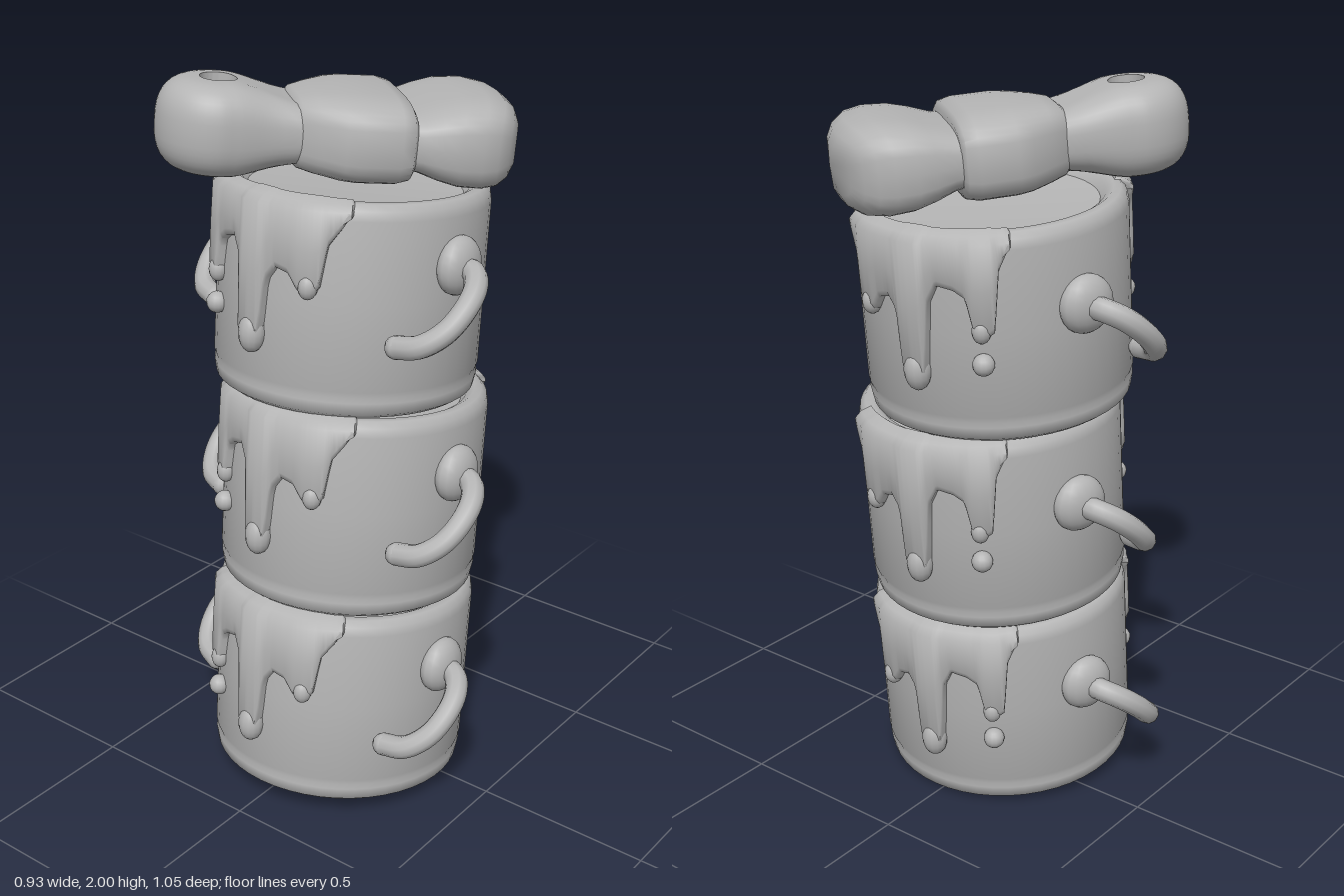
import * as THREE from 'three';
import { toCreasedNormals } from 'three/addons/utils/BufferGeometryUtils.js';

const grey = new THREE.MeshStandardMaterial({ color: 0xb4b4b4, side: THREE.DoubleSide });
grey.name = 'plain grey';

const R = 0.36;       // can radius
const TILT = -0.09;   // lean of the stack

function add(parent, name, geometry) {
  const mesh = new THREE.Mesh(geometry, grey);
  mesh.name = name;
  parent.add(mesh);
  return mesh;
}

// Surface through rows of points; rows and columns may each wrap round
function skin(rows, wrapRows, wrapCols, crease = 0.9) {
  const n = rows.length, m = rows[0].length, index = [];
  for (let i = 0; i < (wrapRows ? n : n - 1); i++) {
    for (let j = 0; j < (wrapCols ? m : m - 1); j++) {
      const i2 = (i + 1) % n, j2 = (j + 1) % m;
      const a = i * m + j, b = i2 * m + j, c = i2 * m + j2, d = i * m + j2;
      index.push(a, b, d, b, c, d);
    }
  }
  const g = new THREE.BufferGeometry();
  g.setAttribute('position', new THREE.Float32BufferAttribute(rows.flat(2), 3));
  g.setIndex(index);
  return toCreasedNormals(g, crease);
}

// Can body with recessed base and lid
function canBody() {
  const profile = [
    [0, 0.08], [0.22, 0.08], [0.25, 0.06], [0.265, 0.012], [0.285, 0], [0.335, 0],
    [0.352, 0.012], [0.358, 0.045], [0.354, 0.058], [0.36, 0.075], [0.36, 0.3], [0.36, 0.52],
    [0.355, 0.545], [0.34, 0.56], [0.32, 0.562], [0.3, 0.55], [0.285, 0.53], [0.24, 0.525], [0, 0.525],
  ].map(([x, y]) => new THREE.Vector2(x, y));
  return toCreasedNormals(new THREE.LatheGeometry(profile, 48), 0.8);
}

// Lower edge of the paint run: z along the rim, depth below it
const EDGE = [
  [-0.26, 0.02], [-0.235, 0.09], [-0.222, 0.25], [-0.2, 0.27], [-0.18, 0.25], [-0.165, 0.16],
  [-0.14, 0.14], [-0.1, 0.13], [-0.075, 0.18], [-0.058, 0.38], [-0.03, 0.4], [0, 0.37],
  [0.012, 0.22], [0.04, 0.18], [0.075, 0.19], [0.1, 0.23], [0.13, 0.24], [0.15, 0.22],
  [0.165, 0.11], [0.195, 0.06], [0.215, 0.02],
];
function runDepth(z) {
  let k = 0;
  while (k < EDGE.length - 2 && z > EDGE[k + 1][0]) k++;
  const [z0, d0] = EDGE[k], [z1, d1] = EDGE[k + 1];
  return THREE.MathUtils.lerp(d0, d1, THREE.MathUtils.clamp((z - z0) / (z1 - z0), 0, 1));
}

// Paint running down one side of a can, with rounded tips and a loose drop
function addDrips(can, side) {
  const a0 = Math.asin(-0.26 / R), a1 = Math.asin(0.215 / R), N = 90, rows = [];
  const start = side > 0 ? a0 : Math.PI - a1;
  for (let i = 0; i <= N; i++) {
    const a = start + (a1 - a0) * i / N;
    const d = runDepth(R * Math.sin(a)), yb = 0.562 - d;
    const t = i === 0 || i === N ? -0.01 : 0.016 + 0.04 * d;
    rows.push([
      [0.325, 0.555], [0.33, 0.564 + t * 0.3], [0.348 + t * 0.6, 0.56], [R + t * 0.9, 0.543],
      [R + t, 0.543 - d * 0.45], [R + t, Math.min(yb + 0.02, 0.54)],
      [R + t * 0.7, yb + 0.004], [R - 0.01, yb],
    ].map(([r, y]) => [r * Math.cos(a), y, r * Math.sin(a)]));
  }
  add(can, 'paintRun', skin(rows, false, false, 1.1));

  for (const [z, depth, r, stretch] of [
    [0.127, 0.215, 0.026, 1.3], [-0.03, 0.365, 0.036, 1.5], [-0.2, 0.245, 0.025, 1.3], [-0.2, 0.335, 0.029, 1],
  ]) {
    const drop = add(can, 'paintDrop', new THREE.SphereGeometry(r, 14, 10));
    drop.scale.y = stretch;
    drop.position.set(side * Math.sqrt(0.37 ** 2 - z * z), 0.562 - depth, z);
  }
}

// Round lug with a hooked carrying loop
function addLoop(can, side, turn, drop) {
  const loop = new THREE.Group();
  loop.name = 'carryingLoop';
  const path = new THREE.CatmullRomCurve3([
    [-0.035, 0.39, 0.36], [-0.05, 0.39, 0.42], [-0.09, 0.365, 0.455], [-0.14, 0.32, 0.462],
    [-0.19, 0.265, 0.44], [-0.225, 0.225, 0.39], [-0.23, 0.21, 0.325],
  ].map(([x, y, z]) => new THREE.Vector3(x, y, z * side)));
  add(loop, 'loopRod', new THREE.TubeGeometry(path, 32, 0.031, 10));
  const tip = add(loop, 'loopTip', new THREE.SphereGeometry(0.031, 10, 8));
  tip.position.copy(path.getPoint(1));
  const lug = add(loop, 'loopLug', new THREE.SphereGeometry(0.078, 16, 12));
  lug.scale.z = 0.6;
  lug.position.set(-0.035, 0.395, 0.365 * side);
  loop.rotation.y = turn;
  loop.position.y = drop;
  can.add(loop);
}

// Loft of rounded-box sections [u, half width, half thickness] along x
function loft(sections, arch = 0) {
  const M = 32, pow = (v) => Math.sign(v) * Math.abs(v) ** 0.55;
  return skin(sections.map(([u, w, h]) => Array.from({ length: M }, (_, j) => {
    const b = j / M * Math.PI * 2, z = w * pow(Math.cos(b));
    return [u - arch * Math.max(0, u - 0.5) * z * z, h * pow(Math.sin(b)), z];
  })), false, true);
}

// Puffy brush handle with a hanging hole through the lobe
function handleGeometry() {
  const rows = [], N = 56, K = 20, hole = 0.048, e = 0.75;
  for (let i = 0; i < N; i++) {
    const a = i / N * Math.PI * 2, c = Math.cos(a), s = Math.sin(a);
    const reach = c > 0.01 ? Math.min(0.28 / c, 0.155 / Math.abs(s)) : 0.157;
    const row = [];
    for (let j = 0; j <= K; j++) {
      const q = j / K * Math.PI;
      const r = hole + (reach - hole) * Math.abs(Math.sin(q)) ** e;
      const x = r * c;
      const thick = THREE.MathUtils.lerp(0.12, 0.088, THREE.MathUtils.smoothstep(x, 0.02, 0.19));
      const narrow = 1 - 0.1 * THREE.MathUtils.smoothstep(x, 0, 0.15);
      row.push([x, thick * Math.sign(Math.cos(q)) * Math.abs(Math.cos(q)) ** e, r * s * narrow]);
    }
    rows.push(row);
  }
  return skin(rows, true, true);
}

export function createModel() {
  const model = new THREE.Group();
  model.name = 'paintCanStack';

  // Three leaning cans
  const bases = [[-0.08, 0.033, 0.02], [-0.025, 0.6, 0.015], [0.007, 1.165, -0.018]];
  bases.forEach((base) => {
    const can = new THREE.Group();
    can.name = 'paintCan';
    add(can, 'canBody', canBody());
    for (const side of [1, -1]) addDrips(can, side);
    addLoop(can, 1, 0, 0);
    addLoop(can, -1, -0.33, -0.05);
    can.position.set(...base);
    can.rotation.z = TILT;
    model.add(can);
  });

  // Brush lying across the top lid
  const brush = new THREE.Group();
  brush.name = 'paintBrush';
  add(brush, 'brushHandle', handleGeometry());
  add(brush, 'brushCollar', loft([
    [0.18, 0, 0], [0.18, 0.11, 0.075], [0.2, 0.14, 0.092], [0.24, 0.165, 0.102], [0.3, 0.212, 0.11],
    [0.34, 0.224, 0.113], [0.44, 0.226, 0.113], [0.472, 0.221, 0.105], [0.482, 0.205, 0.09], [0.482, 0, 0],
  ]));
  add(brush, 'bristles', loft([
    [0.45, 0, 0], [0.45, 0.2, 0.072], [0.5, 0.212, 0.08], [0.56, 0.225, 0.1], [0.62, 0.232, 0.115],
    [0.69, 0.23, 0.12], [0.74, 0.222, 0.112], [0.77, 0.2, 0.09], [0.785, 0.16, 0.06], [0.788, 0, 0],
  ], 4));
  brush.position.set(-0.225, 1.88, -0.255);
  brush.rotation.set(0, -0.695, -0.09);
  model.add(brush);

  return model;
}
